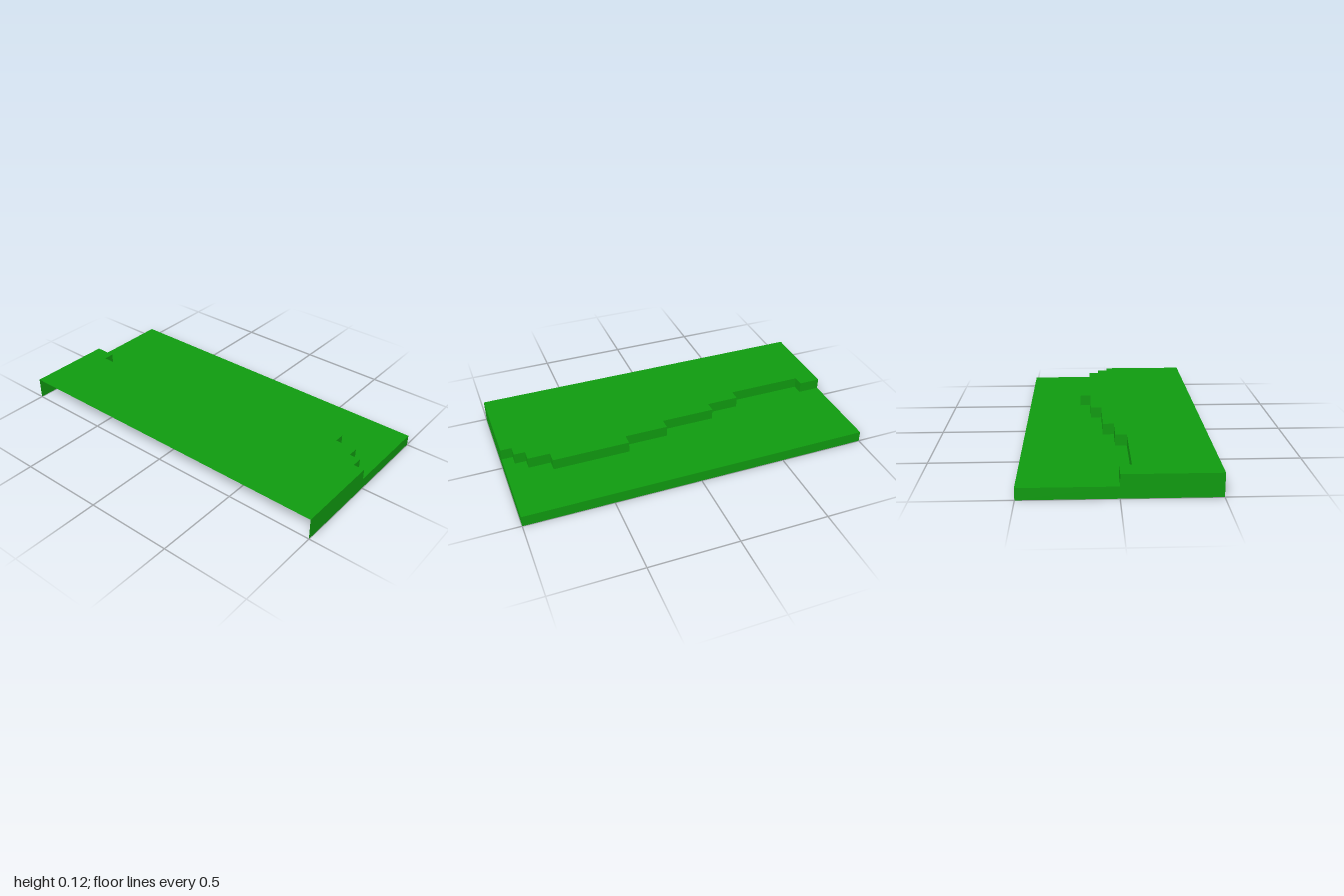
import * as THREE from 'three';

const LOW = 0.0625, HIGH = 0.125, BACK = -0.5, FRONT = 0.5;

// Cliff line from -x to +x: each row is [end x, z of that stretch]
const STEPS = [
  [-0.875, 0], [-0.4375, 0.0625], [-0.25, 0], [0.0625, -0.0625], [0.3125, -0.125],
  [0.75, -0.1875], [0.875, -0.125], [0.9375, -0.0625], [1, 0],
];

export function createModel() {
  const group = new THREE.Group();
  group.name = 'steppedTerrain';
  const grass = new THREE.MeshStandardMaterial({ color: 0x109b10, side: THREE.DoubleSide });
  grass.name = 'grass green';

  const add = (name, geometry) => {
    const mesh = new THREE.Mesh(geometry, grass);
    mesh.name = name;
    group.add(mesh);
    return mesh;
  };

  // Corner points [x, z] of the cliff line
  const cliff = [];
  let startX = -1;
  for (const [endX, z] of STEPS) {
    cliff.push([startX, z], [endX, z]);
    startX = endX;
  }

  // Horizontal ground plate from an [x, z] outline
  const ground = (name, outline, y) => {
    const shape = new THREE.Shape(outline.map(([x, z]) => new THREE.Vector2(x, -z)));
    add(name, new THREE.ShapeGeometry(shape).rotateX(-Math.PI / 2).translate(0, y, 0));
  };
  ground('upperGround', [...cliff, [1, FRONT], [-1, FRONT]], HIGH);
  ground('lowerGround', [...cliff, [1, BACK], [-1, BACK]], LOW);

  // Vertical cliff faces between the two levels, facing the lower ground
  const positions = [];
  for (let i = 0; i < cliff.length - 1; i++) {
    const [ax, az] = cliff[i], [bx, bz] = cliff[i + 1];
    positions.push(
      ax, LOW, az, ax, HIGH, az, bx, HIGH, bz,
      ax, LOW, az, bx, HIGH, bz, bx, LOW, bz,
    );
  }
  const faces = new THREE.BufferGeometry();
  faces.setAttribute('position', new THREE.Float32BufferAttribute(positions, 3));
  faces.computeVertexNormals();
  add('cliffFaces', faces);

  // Stepped end walls; the front and underside stay open
  for (const side of [1, -1]) {
    const profile = [[FRONT, 0], [BACK, 0], [BACK, LOW], [0, LOW], [0, HIGH], [FRONT, HIGH]];
    const shape = new THREE.Shape(profile.map(([z, y]) => new THREE.Vector2(-side * z, y)));
    const wall = new THREE.ShapeGeometry(shape).rotateY(side * Math.PI / 2).translate(side, 0, 0);
    add(side > 0 ? 'leftWall' : 'rightWall', wall);
  }

  // Low back wall
  add('backWall', new THREE.PlaneGeometry(2, LOW).rotateY(Math.PI).translate(0, LOW / 2, BACK));

  return group;
}
